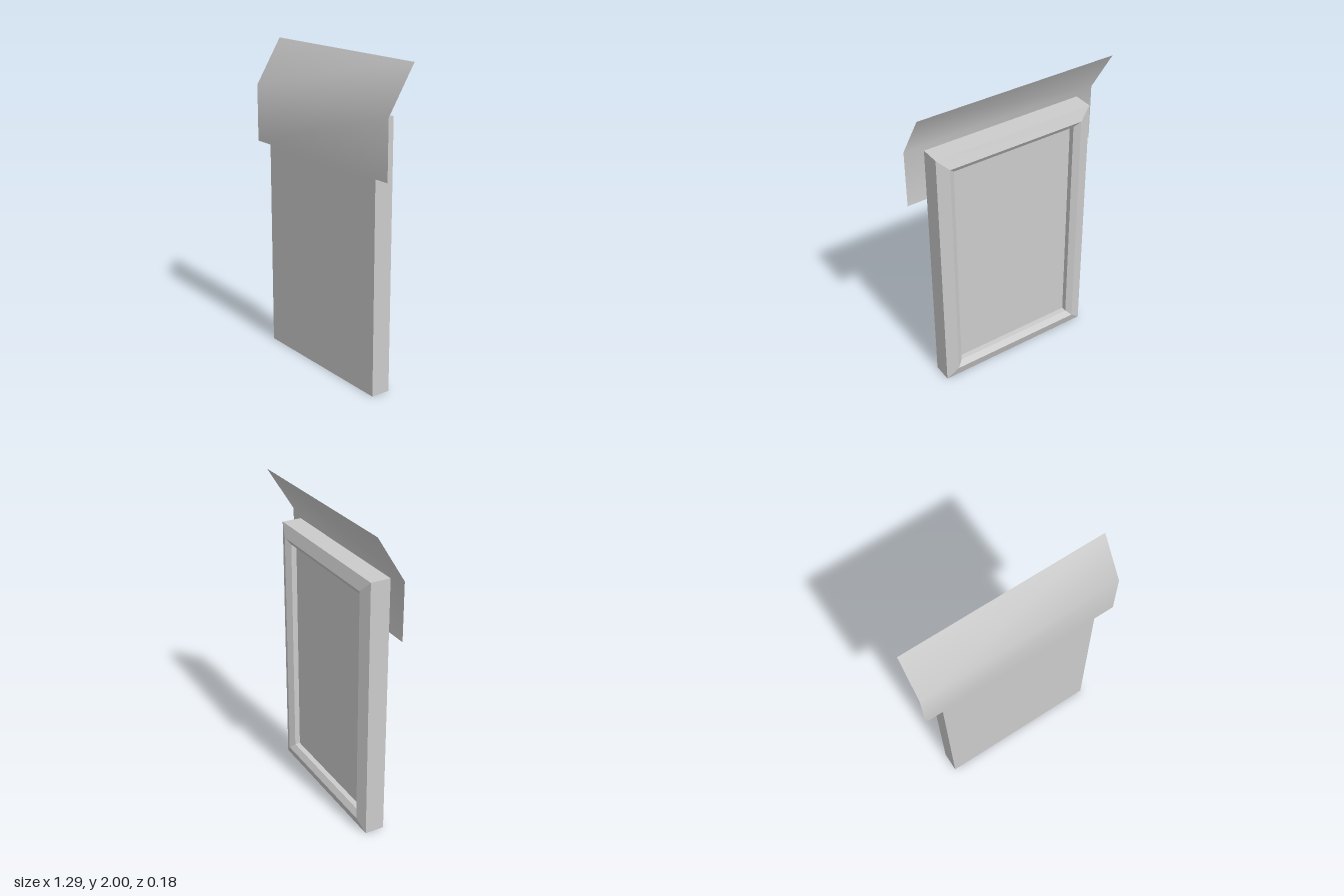
import * as THREE from 'three';

const W = 1.055, H = 1.69;

// Loft rectangular rings through [inset, z] steps, from front to back.
function rectLoft(profile) {
  const rings = profile.map(([i, z]) => {
    const x = W / 2 - i;
    return [[-x, i, z], [x, i, z], [x, H - i, z], [-x, H - i, z]];
  });
  const pos = [];
  for (let r = 0; r < rings.length - 1; r++) {
    for (let k = 0; k < 4; k++) {
      const n = (k + 1) % 4, a = rings[r], b = rings[r + 1];
      pos.push(...a[k], ...b[k], ...b[n], ...a[k], ...b[n], ...a[n]);
    }
  }
  const geo = new THREE.BufferGeometry();
  geo.setAttribute('position', new THREE.Float32BufferAttribute(pos, 3));
  geo.computeVertexNormals();
  return geo;
}

export function createModel() {
  const group = new THREE.Group();
  const mat = new THREE.MeshStandardMaterial({ color: 0xcccccc });
  const sheetMat = new THREE.MeshStandardMaterial({ color: 0xcccccc, side: THREE.DoubleSide });
  const add = (name, geo, material = mat) => {
    const mesh = new THREE.Mesh(geo, material);
    mesh.name = name;
    group.add(mesh);
    return mesh;
  };

  // Frame: straight sides, bevel rising to a ridge, slope and step down to the panel
  const inset = 0.112, panelZ = -0.015;
  add('frame', rectLoft([[0, 0.075], [0, -0.05], [0.075, -0.075], [inset, -0.05], [inset, panelZ]]));

  // Flat front face
  add('frontPanel', new THREE.PlaneGeometry(W, H)).position.set(0, H / 2, 0.075);

  // Recessed panel inside the frame, facing back
  const back = add('backPanel', new THREE.PlaneGeometry(W - 2 * inset, H - 2 * inset));
  back.position.set(0, H / 2, panelZ);
  back.rotation.y = Math.PI;

  // Thin sheet in front of the top, upright below and folded backwards above
  const fold = [[2, -0.088], [1.715, 0.088], [1.35, 0.088]];
  const sheet = new THREE.PlaneGeometry(1.295, 1, 1, 2);
  const p = sheet.attributes.position;
  for (let i = 0; i < p.count; i++) {
    const [y, z] = fold[Math.floor(i / 2)];
    p.setY(i, y);
    p.setZ(i, z);
  }
  sheet.computeVertexNormals();
  add('foldedSheet', sheet, sheetMat);

  return group;
}
